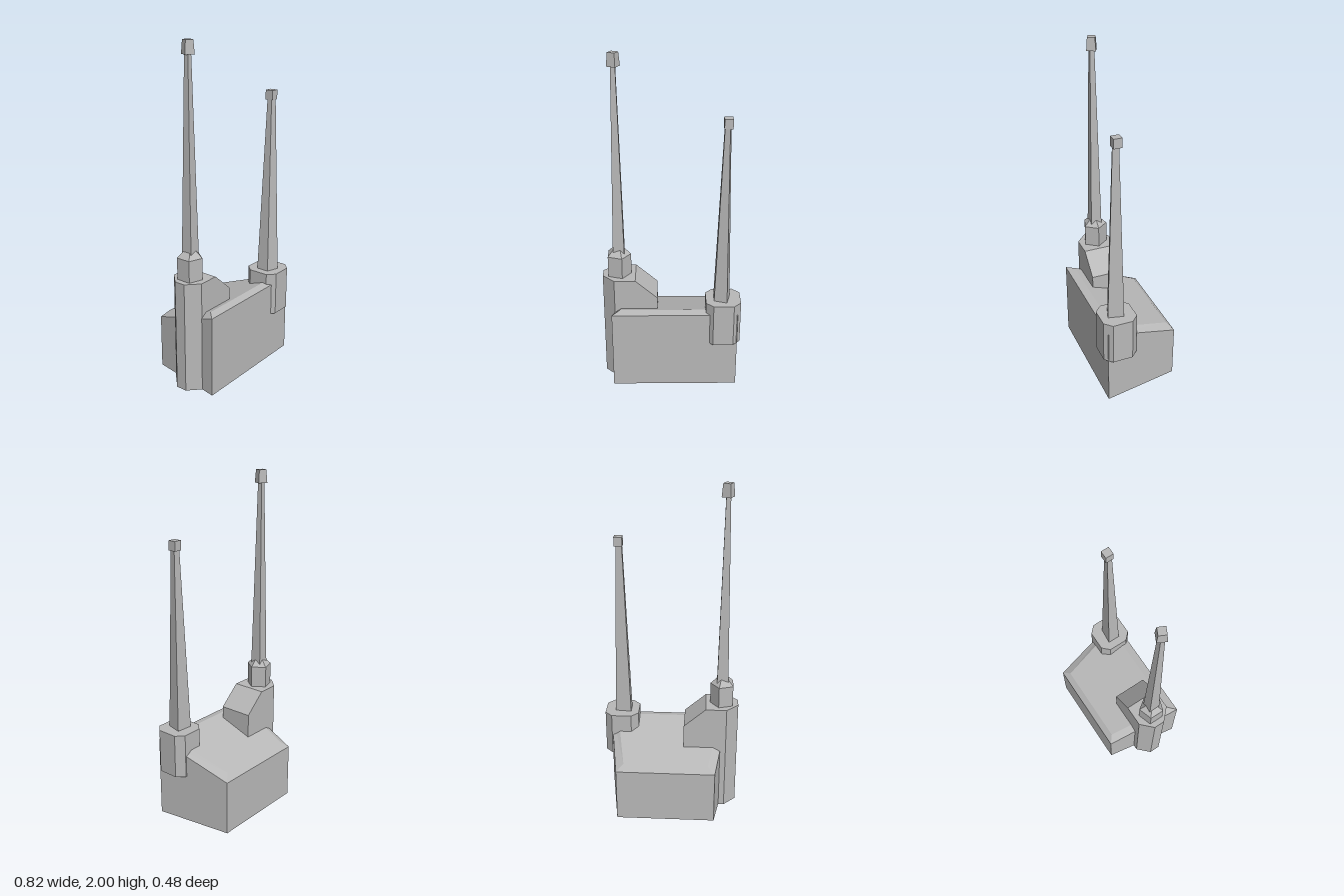
import * as THREE from 'three';

// Flat-faced solid through stacked rings of [x, y, z], each counter-clockwise seen from above
function loft(rings) {
  const pos = [];
  const tri = (a, b, c) => pos.push(...a, ...b, ...c);
  const n = rings[0].length;
  for (let r = 0; r < rings.length - 1; r++) {
    const lo = rings[r], hi = rings[r + 1];
    for (let i = 0; i < n; i++) {
      const j = (i + 1) % n;
      tri(lo[i], lo[j], hi[j]);
      tri(lo[i], hi[j], hi[i]);
    }
  }
  const bottom = rings[0], top = rings[rings.length - 1];
  for (let i = 1; i < n - 1; i++) {
    tri(bottom[0], bottom[i + 1], bottom[i]);
    tri(top[0], top[i], top[i + 1]);
  }
  const geo = new THREE.BufferGeometry();
  geo.setAttribute('position', new THREE.Float32BufferAttribute(pos, 3));
  geo.computeVertexNormals();
  return geo;
}

// Footprint helpers
const level = (pts, y) => pts.map(([x, z]) => [x, y, z]);
const scaled = (pts, cx, cz, s) => pts.map(([x, z]) => [cx + (x - cx) * s, cz + (z - cz) * s]);
function polygon(cx, cz, radius, sides, turn = 0) {
  return Array.from({ length: sides }, (_, i) => {
    const a = turn + (i * 2 * Math.PI) / sides;
    return [cx + radius * Math.cos(a), cz - radius * Math.sin(a)];
  });
}
const square = (cx, cz, half, turn = 0) => polygon(cx, cz, half * Math.SQRT2, 4, Math.PI / 4 + turn);

export function createModel() {
  const group = new THREE.Group();
  const stone = new THREE.MeshStandardMaterial({ color: 0xb8b8b8, flatShading: true });
  stone.name = 'grey stone';
  const add = (name, ...rings) => {
    const mesh = new THREE.Mesh(loft(rings), stone);
    mesh.name = name;
    group.add(mesh);
  };

  // Main block: tapering footprint, top falling to the back with a bevelled rim
  const base = [[-0.355, 0.22], [0.39, 0.22], [0.313, -0.24], [-0.278, -0.24]];
  const rim = base.map(([x, z]) => [x, z > 0 ? 0.49 : 0.33, z]);
  const roof = [[-0.308, 0.5, 0.172], [0.342, 0.5, 0.172], [0.27, 0.367, -0.205], [-0.236, 0.367, -0.205]];
  add('mainBlock', level(base, 0), rim, roof);

  // Right-hand tower with its sloping shoulder
  const tower = [
    [-0.215, 0.135], [-0.085, 0.135], [-0.085, -0.07], [-0.215, -0.07],
    [-0.34, -0.07], [-0.41, 0], [-0.41, 0.067], [-0.34, 0.135],
  ];
  add('tallTower', level(tower, 0), tower.map(([x, z]) => [x, x > -0.1 ? 0.56 : 0.675, z]));

  // Five-sided pedestal, pointed collar, spire and turned cap
  const tx = -0.312, tz = 0.032;
  const penta = polygon(-0.315, tz, 0.075, 5);
  add('pedestal', level(penta, 0.67), level(penta, 0.805));
  add('collar', level(penta, 0.805), level(scaled(penta, tx, tz, 0.02), 0.875));
  add('tallSpire', level(square(tx, tz, 0.034), 0.79), level(square(tx, tz, 0.013), 1.93));
  const turn = -0.46;
  add('tallSpireCap',
    level(square(-0.31, tz, 0.027, turn), 1.925),
    level(square(-0.31, tz, 0.022, turn), 2));

  // Left-hand eight-sided turret hung on the front corner
  const turret = [
    [0.245, 0.24], [0.365, 0.24], [0.408, 0.197], [0.408, 0.075],
    [0.365, 0.032], [0.245, 0.032], [0.202, 0.075], [0.202, 0.197],
  ];
  add('cornerTurret', level(turret, 0.295), level(turret, 0.56));

  // Irregular four-sided spire and square cap
  const foot = [[0.25, 0.172], [0.325, 0.197], [0.347, 0.104], [0.25, 0.095]];
  add('shortSpire', level(foot, 0.55), level(scaled(foot, 0.305, 0.138, 0.37), 1.62));
  const cap = square(0.305, 0.135, 0.024);
  add('shortSpireCap', level(cap, 1.615), level(cap, 1.67));

  return group;
}
